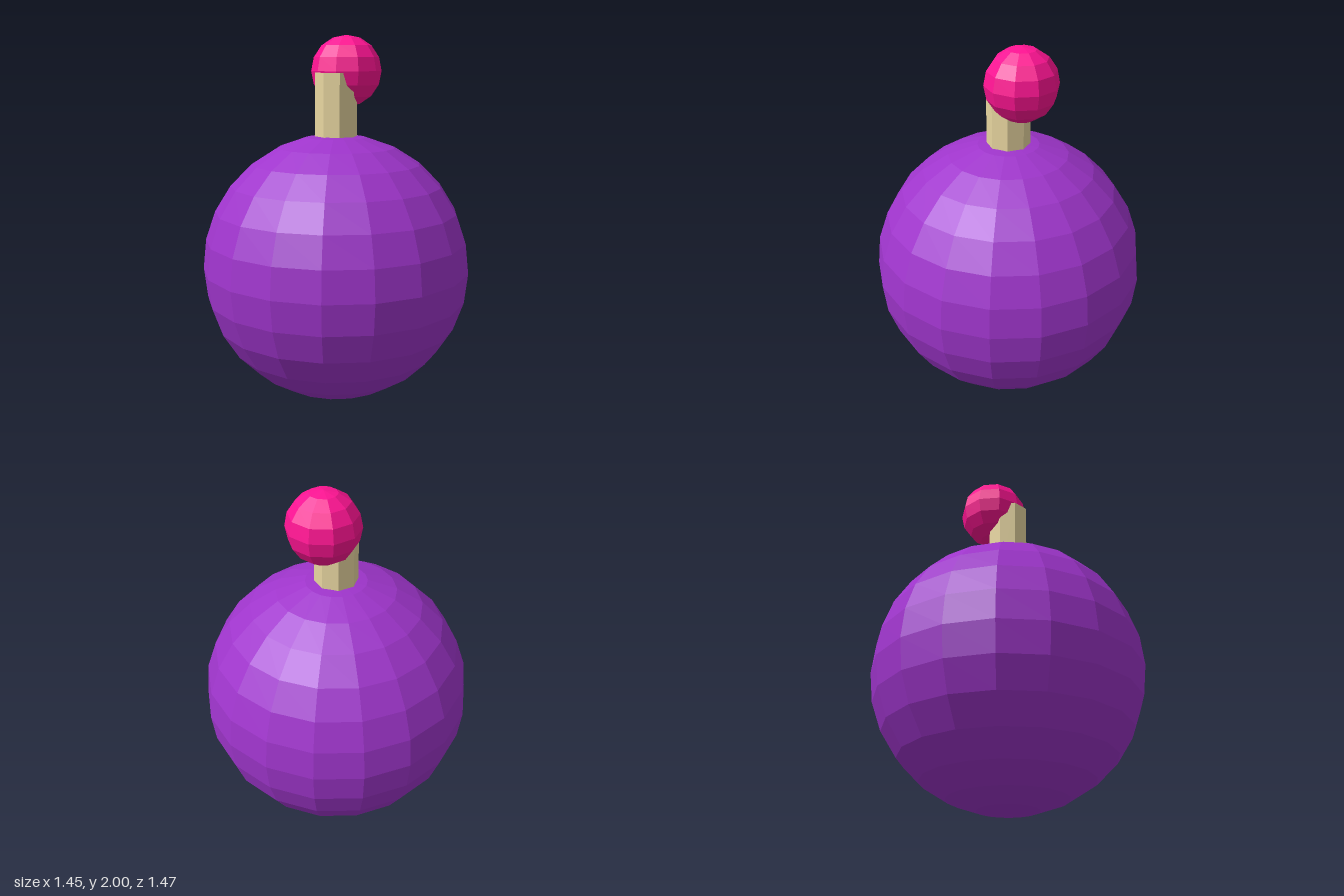
import * as THREE from 'three';

export function createModel() {
  const model = new THREE.Group();

  function addPart(name, geometry, color, x, y) {
    const material = new THREE.MeshStandardMaterial({ color, flatShading: true });
    const mesh = new THREE.Mesh(geometry, material);
    mesh.name = name;
    mesh.position.set(x, y, 0);
    model.add(mesh);
  }

  // Faceted ball with a column of vertices facing front and back
  const ball = (radius, sides, rows) =>
    new THREE.SphereGeometry(radius, sides, rows).rotateY(Math.PI / 2);

  // Round bottle body
  addPart('body', ball(0.737, 18, 14), 0x9f35cc, 0, 0.737);

  // Octagonal neck, sunk into the body
  addPart('neck', new THREE.CylinderGeometry(0.115, 0.115, 0.46, 8), 0xe8d6a0, 0, 1.57);

  // Stopper ball, set off to one side of the neck
  addPart('stopper', ball(0.192, 10, 8), 0xff1493, 0.097, 1.808);

  return model;
}
